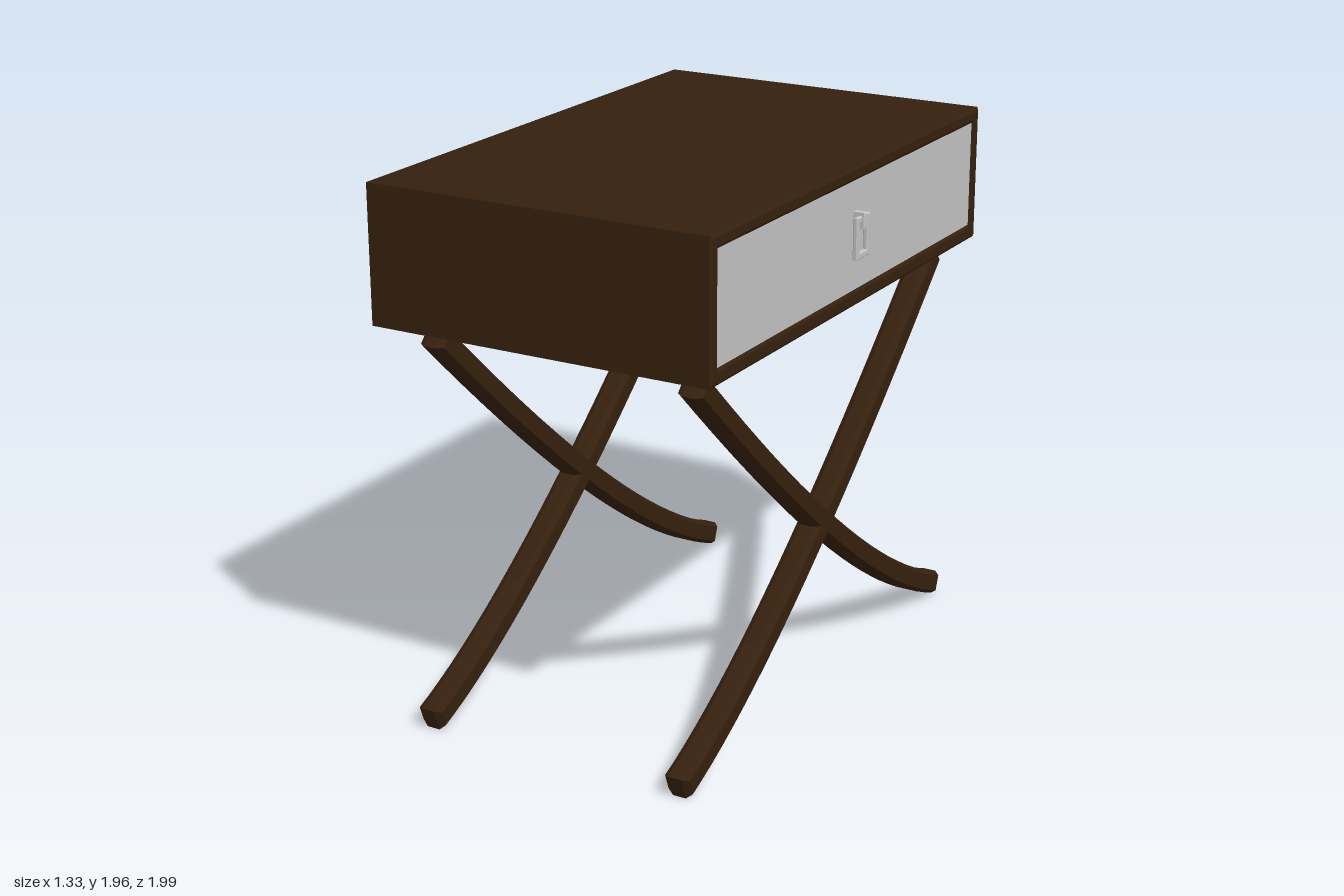
import * as THREE from 'three';
import { toCreasedNormals } from 'three/addons/utils/BufferGeometryUtils.js';

const wood = new THREE.MeshStandardMaterial({ color: 0x35200e });
wood.name = 'darkWood';
const silver = new THREE.MeshStandardMaterial({ color: 0xc2c2c2 });
silver.name = 'silverGrey';

function add(parent, name, geometry, material) {
  const mesh = new THREE.Mesh(geometry, material);
  mesh.name = name;
  parent.add(mesh);
  return mesh;
}

// Box given by its minimum and maximum corners
function boxBetween(x0, x1, y0, y1, z0, z1) {
  return new THREE.BoxGeometry(x1 - x0, y1 - y0, z1 - z0)
    .translate((x0 + x1) / 2, (y0 + y1) / 2, (z0 + z1) / 2);
}

function rectangle(halfWidth, y0, y1, Type = THREE.Shape) {
  return new Type([[-halfWidth, y0], [halfWidth, y0], [halfWidth, y1], [-halfWidth, y1]]
    .map(([x, y]) => new THREE.Vector2(x, y)));
}

// Side profile extruded along x, chamfered within x0..x1
function extrudeAcross(shape, x0, x1, bevelSize, bevelThickness) {
  const geometry = new THREE.ExtrudeGeometry(shape, {
    depth: x1 - x0 - 2 * bevelThickness,
    bevelEnabled: true,
    bevelSegments: 1,
    bevelSize,
    bevelThickness,
    bevelOffset: -bevelSize,
  });
  return geometry.rotateY(Math.PI / 2).translate(x0 + bevelThickness, 0, 0);
}

// Curved leg outline: a band of even width around a quadratic curve
function legShape(side) {
  const curve = new THREE.QuadraticBezierCurve(
    new THREE.Vector2(-0.874 * side, 1.42),
    new THREE.Vector2(0.319 * side, 0.288),
    new THREE.Vector2(0.978 * side, 0.041));
  const upper = [], lower = [];
  const steps = 20, half = 0.044;
  for (let i = 0; i <= steps; i++) {
    const p = curve.getPoint(i / steps);
    const t = curve.getTangent(i / steps);
    const normal = new THREE.Vector2(-t.y, t.x).multiplyScalar(half * side);
    upper.push(p.clone().add(normal));
    lower.unshift(p.clone().sub(normal));
  }
  return new THREE.Shape([...upper, ...lower]);
}

export function createModel() {
  const group = new THREE.Group();
  group.name = 'sideTable';

  // Cabinet body and the chamfered frame around its drawer
  const cabinet = new THREE.Group();
  cabinet.name = 'cabinet';
  group.add(cabinet);
  add(cabinet, 'cabinetBody', boxBetween(-0.665, 0.61, 1.463, 1.955, -0.994, 0.994), wood);
  const frame = rectangle(0.994, 1.463, 1.955);
  frame.holes.push(rectangle(0.947, 1.519, 1.905, THREE.Path));
  add(cabinet, 'drawerFrame', extrudeAcross(frame, 0.59, 0.63, 0.01, 0.008), wood);

  // Drawer front set just inside the frame
  const drawer = new THREE.Group();
  drawer.name = 'drawer';
  group.add(drawer);
  add(drawer, 'drawerFront', boxBetween(0.605, 0.622, 1.515, 1.909, -0.95, 0.95), silver);

  // Hanging ring pull and its hook
  const ring = rectangle(0.05, 1.638, 1.787);
  ring.holes.push(rectangle(0.027, 1.662, 1.763, THREE.Path));
  add(drawer, 'ringPull', extrudeAcross(ring, 0.639, 0.657, 0.004, 0.004), silver);
  add(drawer, 'pullHook', extrudeAcross(rectangle(0.013, 1.74, 1.798), 0.615, 0.665, 0.004, 0.004), silver);

  // Two pairs of crossed curved legs
  for (const [pair, x] of [['right', -0.502], ['left', 0.495]]) {
    const legs = new THREE.Group();
    legs.name = pair + 'CrossedLegs';
    group.add(legs);
    for (const side of [1, -1]) {
      const geometry = extrudeAcross(legShape(side), x - 0.047, x + 0.047, 0.014, 0.022);
      add(legs, side > 0 ? 'legToBack' : 'legToFront', toCreasedNormals(geometry, 0.4), wood);
    }
  }
  return group;
}
